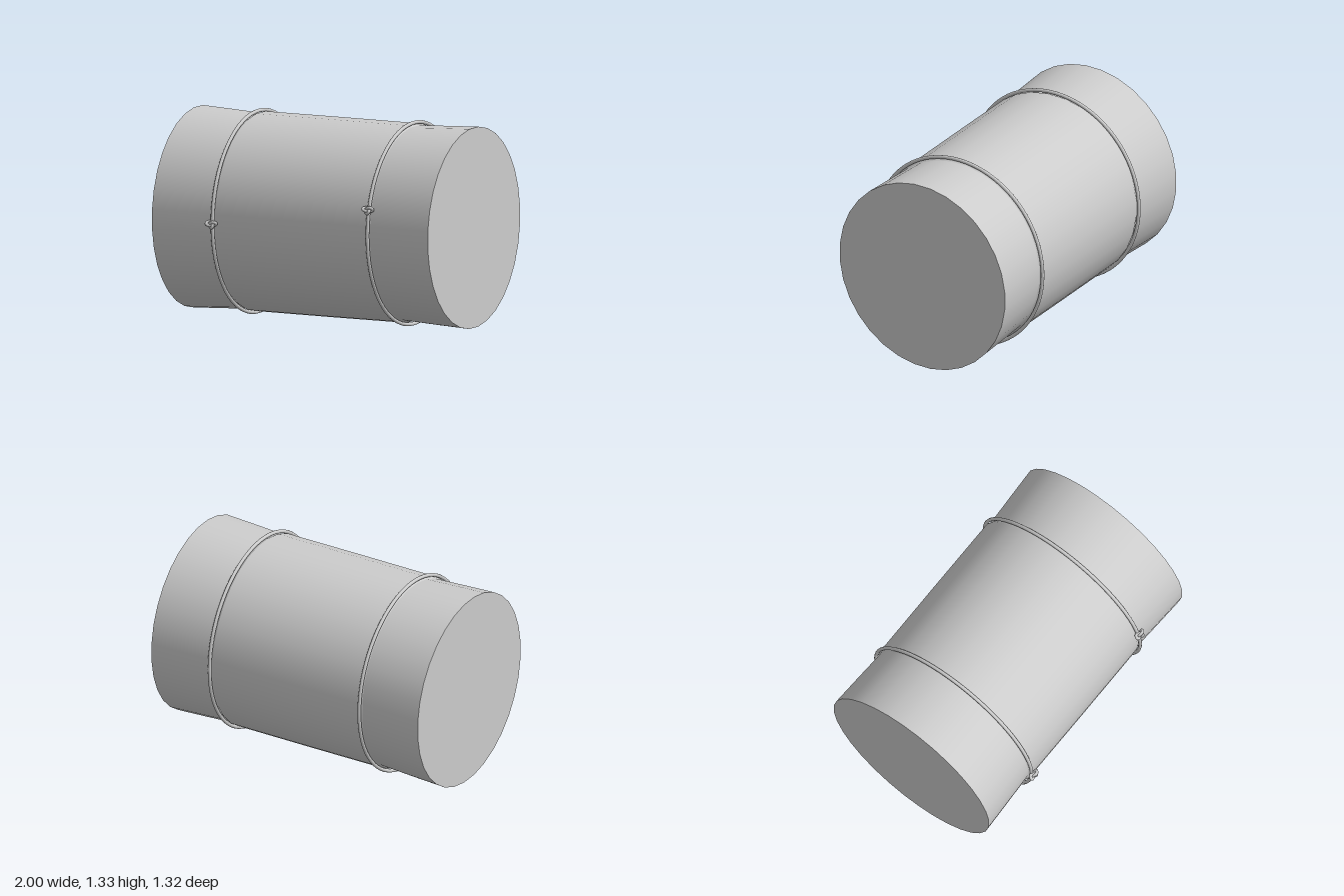
import * as THREE from 'three';

const CY = 0.67, CZ = -0.015; // axis of the bundle
const SQUASH = 0.976;         // slightly narrower in depth than in height
const SIDES = 32;

export function createModel() {
  const group = new THREE.Group();
  const grey = new THREE.MeshStandardMaterial({ color: 0xcccccc });
  grey.name = 'lightGrey';

  const add = (name, geometry) => {
    const mesh = new THREE.Mesh(geometry, grey);
    mesh.name = name;
    group.add(mesh);
    return mesh;
  };

  // Skin of the roll: each [x, radius] run is smooth, with creases between runs
  const skin = (name, run) => {
    const g = new THREE.LatheGeometry(run.map(([x, r]) => new THREE.Vector2(r, x)), SIDES, Math.PI / SIDES);
    g.rotateZ(-Math.PI / 2).scale(1, 1, SQUASH).translate(0, CY, CZ);
    add(name, g);
  };
  skin('middleSection', [[-0.545, 0.643], [0, 0.644], [0.545, 0.643]]);
  skin('rightStep', [[-0.57, 0.63], [-0.545, 0.643]]);
  skin('leftStep', [[0.545, 0.643], [0.57, 0.63]]);
  skin('rightFlare', [[-1, 0.651], [-0.78, 0.641], [-0.57, 0.63]]);
  skin('leftFlare', [[0.57, 0.63], [0.78, 0.641], [1, 0.651]]);

  // Flat ends
  for (const side of [-1, 1]) {
    const cap = new THREE.CircleGeometry(0.651, SIDES, Math.PI / SIDES + Math.PI / 2);
    cap.rotateY(side * Math.PI / 2).scale(1, 1, SQUASH).translate(side, CY, CZ);
    add(side > 0 ? 'leftEnd' : 'rightEnd', cap);
  }

  // Overhand knot, centred on the origin and facing +z
  const knotPoints = [];
  for (let i = 0; i < 36; i++) {
    const t = (i / 36) * Math.PI * 2;
    knotPoints.push(new THREE.Vector3(
      0.0115 * (Math.sin(t) + 2 * Math.sin(2 * t)),
      0.0075 * (Math.cos(t) - 2 * Math.cos(2 * t)),
      -0.011 * Math.sin(3 * t)));
  }
  const knotCurve = new THREE.CatmullRomCurve3(knotPoints, true);

  // Tie cords, each with its knot on the front
  const ties = [
    { side: 'right', x: -0.561, knotY: 0.67 },
    { side: 'left', x: 0.563, knotY: 0.838 },
  ];
  for (const { side, x, knotY } of ties) {
    const cord = new THREE.TorusGeometry(0.651, 0.012, 10, 72);
    cord.rotateY(Math.PI / 2).scale(1, 1, SQUASH).translate(x, CY, CZ);
    add(side + 'Cord', cord);

    const angle = Math.asin((knotY - CY) / 0.662);
    const knot = add(side + 'Knot', new THREE.TubeGeometry(knotCurve, 90, 0.0105, 8, true));
    knot.position.set(x, knotY, CZ + Math.cos(angle) * 0.662 * SQUASH + 0.007);
    knot.rotation.x = -angle;
  }
  return group;
}
